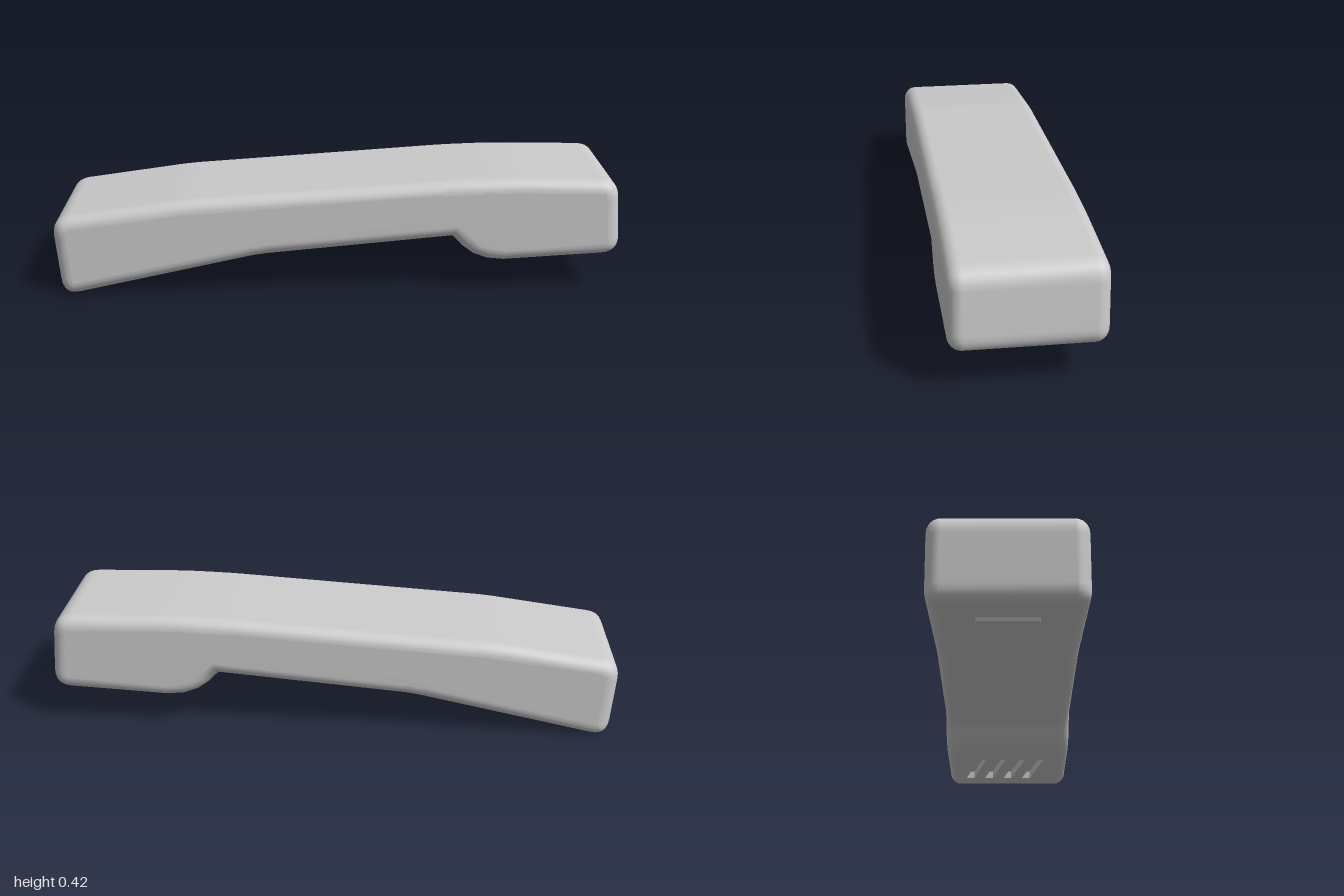
import * as THREE from 'three';
import { mergeVertices } from 'three/addons/utils/BufferGeometryUtils.js';

const HALF = 0.247, BEVEL = 0.045, FLAT = HALF - BEVEL;
const material = new THREE.MeshStandardMaterial({ color: 0xcccccc, roughness: 0.7 });

// Side outline, counter-clockwise: [x, y, corner rounding]
const OUTLINE = [
  [-0.98, -0.012, 0.065], [-0.28, 0.14, 0.04], [0.405, 0.205, 0],
  [0.44, 0.168, 0], [0.48, 0.138, 0], [0.53, 0.119, 0], [0.59, 0.113, 0],
  [1.002, 0.139, 0.065], [0.98, 0.413, 0.065], [0.58, 0.419, 0.08],
  [0.4, 0.412, 0.04], [-0.55, 0.345, 0.05], [-1.003, 0.281, 0.065],
];

function roundedOutline(corners) {
  const points = [];
  corners.forEach(([x, y, r], i) => {
    const n = corners.length;
    const p = new THREE.Vector2(x, y);
    if (!r) return points.push(p);
    const toward = ([ax, ay]) => new THREE.Vector2(ax, ay).sub(p).setLength(r).add(p);
    const curve = new THREE.QuadraticBezierCurve(
      toward(corners[(i + n - 1) % n]), p, toward(corners[(i + 1) % n]));
    points.push(...curve.getPoints(6));
  });
  return points;
}

function addMesh(group, name, geometry) {
  const mesh = new THREE.Mesh(geometry, material);
  mesh.name = name;
  group.add(mesh);
  return mesh;
}

export function createModel() {
  const group = new THREE.Group();
  group.name = 'handset';

  // Body: the side outline extruded across z with a rounded rim
  const points = roundedOutline(OUTLINE);
  const start = new THREE.Vector2(0.59, 0.113);
  const end = points[points.findIndex((p) => p.equals(start)) + 1];
  let body = new THREE.ExtrudeGeometry(new THREE.Shape(points), {
    depth: 2 * FLAT, bevelThickness: BEVEL, bevelSize: BEVEL,
    bevelOffset: -BEVEL, bevelSegments: 6,
  });
  body.translate(0, 0, -FLAT);
  body.deleteAttribute('uv');
  body.deleteAttribute('normal');
  body = mergeVertices(body, 1e-4);
  body.computeVertexNormals();

  // Open the flat underside of the earpiece for the slotted panel
  const pos = body.attributes.position, index = body.index.array, kept = [];
  const onPanel = (i) => Math.abs(Math.abs(pos.getZ(i)) - FLAT) < 1e-3
    && pos.getY(i) < 0.2 && pos.getX(i) > start.x - 1e-3 && pos.getX(i) < end.x + 1e-3;
  for (let i = 0; i < index.length; i += 3) {
    const tri = [index[i], index[i + 1], index[i + 2]];
    if (!tri.every(onPanel)) kept.push(...tri);
  }
  body.setIndex(kept);
  addMesh(group, 'body', body);

  // Earpiece panel with four slanted slots; local x runs along the underside, z points out
  const along = end.clone().sub(start), length = along.length();
  const slope = along.angle(), depth = 0.03;
  const panelShape = new THREE.Shape([
    new THREE.Vector2(0, -FLAT), new THREE.Vector2(length, -FLAT),
    new THREE.Vector2(length, FLAT), new THREE.Vector2(0, FLAT)]);
  for (let k = 0; k < 4; k++) {
    const z = -0.175 + 0.079 * k;
    panelShape.holes.push(new THREE.Path([
      new THREE.Vector2(0.015, z + 0.055), new THREE.Vector2(0.015, z + 0.088),
      new THREE.Vector2(0.275, z + 0.033), new THREE.Vector2(0.275, z)]));
  }
  const earpiece = new THREE.Group();
  earpiece.name = 'earpiece';
  addMesh(earpiece, 'slottedPanel',
    new THREE.ExtrudeGeometry(panelShape, { depth, bevelEnabled: false }));
  addMesh(earpiece, 'slotFloor', new THREE.BoxGeometry(length, 2 * FLAT, 0.01))
    .position.set(length / 2, 0, -0.005);
  const c = Math.cos(slope), s = Math.sin(slope);
  earpiece.matrixAutoUpdate = true;
  earpiece.quaternion.setFromRotationMatrix(new THREE.Matrix4().makeBasis(
    new THREE.Vector3(c, s, 0), new THREE.Vector3(0, 0, 1), new THREE.Vector3(s, -c, 0)));
  earpiece.position.set(start.x - s * depth, start.y + c * depth, 0);
  group.add(earpiece);

  // Small tapered ridge under the mouthpiece
  const ridge = new THREE.BoxGeometry(0.04, 0.028, 0.204);
  const rp = ridge.attributes.position;
  for (let i = 0; i < rp.count; i++) {
    if (rp.getY(i) < 0) rp.setXYZ(i, rp.getX(i) * 0.7, rp.getY(i), rp.getZ(i) * 0.95);
  }
  ridge.computeVertexNormals();
  const mouthpiece = addMesh(group, 'mouthpieceRidge', ridge);
  mouthpiece.position.set(-0.815, 0.025, 0);
  mouthpiece.rotation.z = Math.atan2(0.152, 0.7);

  return group;
}
